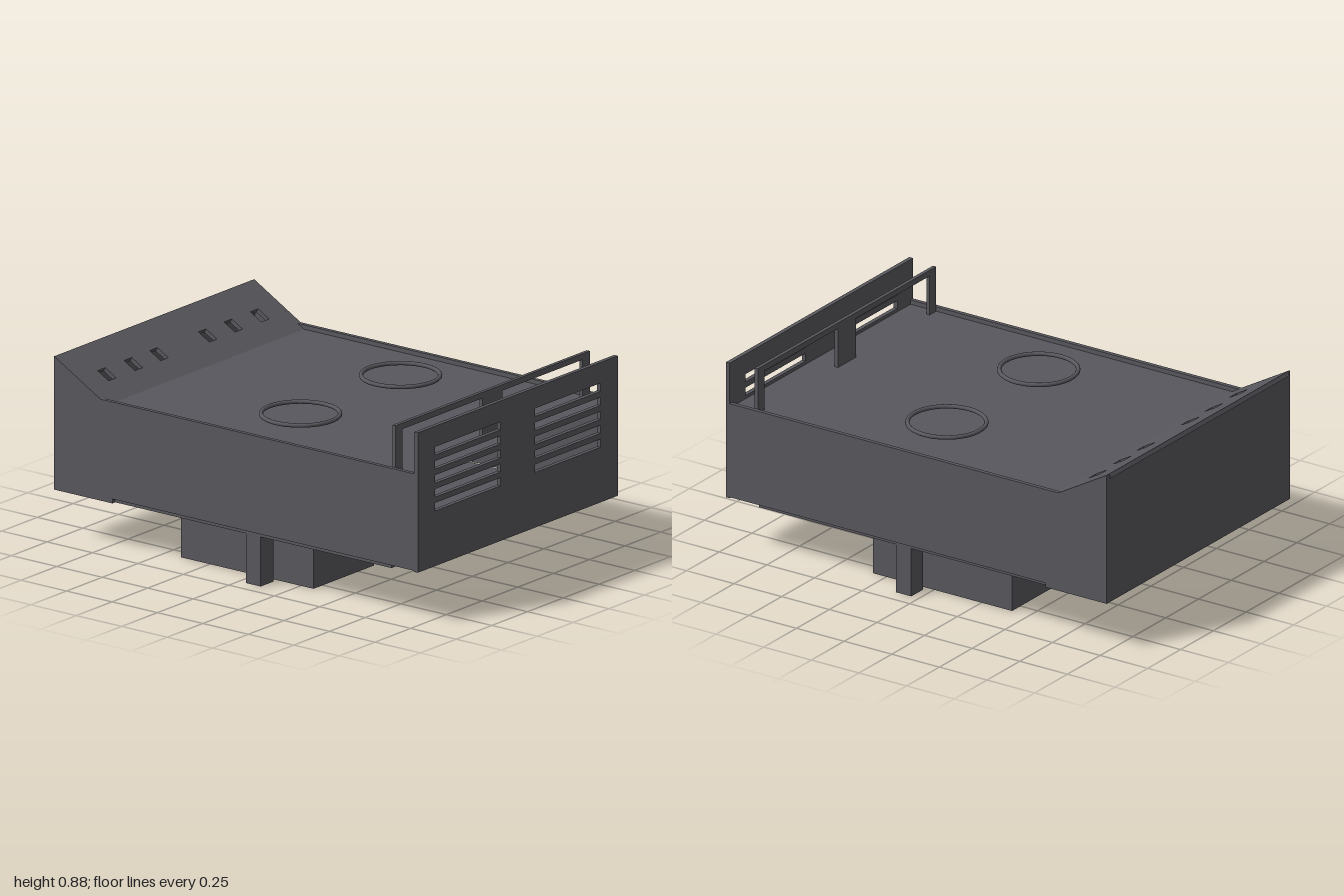
import * as THREE from 'three';

export function createModel() {
  const model = new THREE.Group();
  const grey = new THREE.MeshStandardMaterial({ color: 0x58575d });
  grey.name = 'dark grey';

  const add = (name, geometry) => {
    const mesh = new THREE.Mesh(geometry, grey);
    mesh.name = name;
    model.add(mesh);
    return mesh;
  };
  // Box given by its lower and upper limits on each axis
  const box = (name, x0, x1, y0, y1, z0, z1) => {
    const mesh = add(name, new THREE.BoxGeometry(x1 - x0, y1 - y0, z1 - z0));
    mesh.position.set((x0 + x1) / 2, (y0 + y1) / 2, (z0 + z1) / 2);
    return mesh;
  };
  const rect = (Kind, a0, a1, b0, b1) => new Kind([[a0, b0], [a1, b0], [a1, b1], [a0, b1]]
    .map(([a, b]) => new THREE.Vector2(a, b)));
  // Flat plate with rectangular holes, extruded along its local z
  const plate = (outline, holes, depth) => {
    const shape = rect(THREE.Shape, ...outline);
    shape.holes = holes.map((h) => rect(THREE.Path, ...h));
    return new THREE.ExtrudeGeometry(shape, { depth, bevelEnabled: false });
  };

  // Long walls, rising to a wedge at the backsplash end
  const wall = new THREE.Shape([
    [-1, 0.225], [-0.68, 0.225], [-0.68, 0.245], [1, 0.245],
    [1, 0.685], [-0.745, 0.685], [-1, 0.83],
  ].map(([x, y]) => new THREE.Vector2(x, y)));
  for (const z of [-0.7, 0.68]) {
    const side = add(z < 0 ? 'backWall' : 'frontWall',
      new THREE.ExtrudeGeometry(wall, { depth: 0.02, bevelEnabled: false }));
    side.position.z = z;
  }
  box('wedgeEndWall', -1, -0.98, 0.225, 0.815, -0.68, 0.68);
  box('deck', -0.72, 0.98, 0.645, 0.665, -0.68, 0.68);

  // Sloping panel with six small openings
  const run = 0.29, drop = 0.165, length = Math.hypot(run, drop);
  const openings = [-0.535, -0.35, -0.17, 0.17, 0.35, 0.535]
    .map((z) => [z - 0.027, z + 0.027, 0.15, 0.219]);
  const slope = plate([-0.68, 0.68, 0, length], openings, 0.02);
  const down = new THREE.Vector3(run, -drop, 0).normalize();
  const normal = new THREE.Vector3(drop, run, 0).normalize();
  slope.translate(0, 0, -0.02);
  slope.applyMatrix4(new THREE.Matrix4().makeBasis(new THREE.Vector3(0, 0, 1), down, normal));
  slope.translate(-1, 0.83, 0);
  add('slopingPanel', slope);

  // Tall end panel with two banks of five vent slots
  const slots = [];
  for (const y of [0.49, 0.553, 0.616, 0.68, 0.744]) {
    slots.push([-0.58, -0.12, y, y + 0.037], [0.12, 0.58, y, y + 0.037]);
  }
  const vents = plate([-0.7, 0.7, 0.24, 0.875], slots, 0.02);
  vents.rotateY(Math.PI / 2);
  vents.translate(0.98, 0, 0);
  add('ventPanel', vents);

  // Rail frame beside the vents
  box('railTop', 0.845, 0.862, 0.848, 0.875, -0.68, 0.68);
  for (const [z, half] of [[-0.655, 0.025], [0, 0.07], [0.655, 0.025]]) {
    box('railPost', 0.845, 0.862, 0.66, 0.848, z - half, z + half);
  }

  // Underside
  box('baseEnd', -0.98, -0.68, 0.225, 0.242, -0.68, 0.68);

  for (const s of [-1, 1]) {
    box('basePlate', -0.68, 0.84, 0.225, 0.242, s > 0 ? 0.02 : -0.68, s > 0 ? 0.68 : -0.02);

    // Round rings above the deck
    const ring = add('ring', new THREE.TorusGeometry(0.171, 0.0095, 12, 64));
    ring.rotation.x = Math.PI / 2;
    ring.position.set(0.08, 0.6945, s * 0.35);

    // Large boxes below, each with a narrow slit
    const lower = plate([-0.41, 0.32, -0.2125, 0.2125], [[-0.33, 0.24, -0.008, 0.008]], 0.225);
    lower.rotateX(-Math.PI / 2);
    lower.translate(0, 0, s * 0.352);
    add('lowerBox', lower);

    box('foot', 0.04, 0.12, 0, 0.225, s * 0.635 - 0.045, s * 0.635 + 0.045);
  }
  return model;
}
